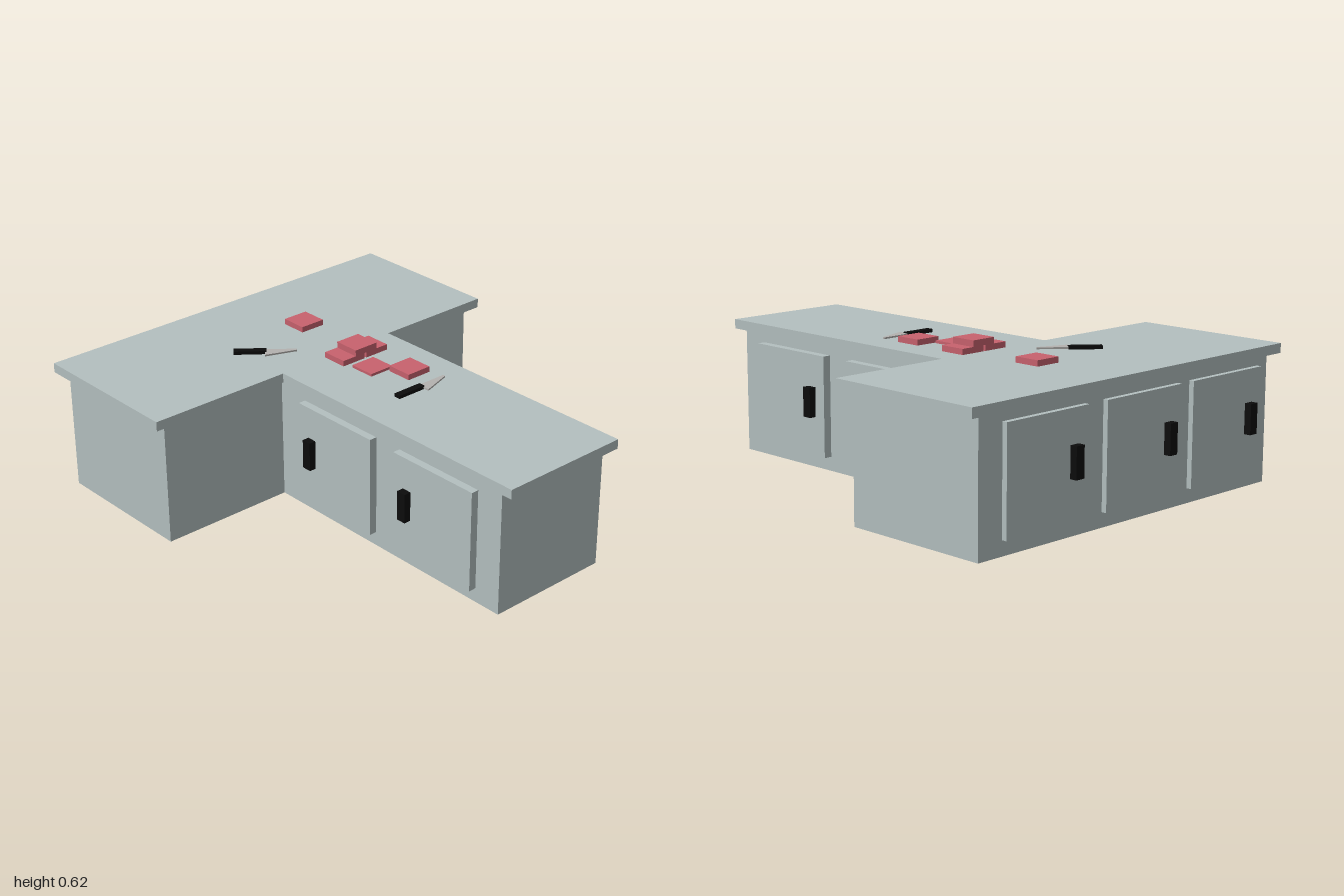
import * as THREE from 'three';

const material = (color) => new THREE.MeshStandardMaterial({ color, flatShading: true });
const CABINET = material(0xb4c0c0);
const BLACK = material(0x0c0c0c);
const MEAT = material(0xc8626e);
const STEEL = material(0xb4b2b0);

// Box given by its size and centre
function box(name, mat, [w, h, d], [x, y, z]) {
  const mesh = new THREE.Mesh(new THREE.BoxGeometry(w, h, d), mat);
  mesh.name = name;
  mesh.position.set(x, y, z);
  return mesh;
}

// Plan outline of [x, z] points, raised from y0 to y1
function slab(name, mat, points, y0, y1) {
  const shape = new THREE.Shape(points.map(([x, z]) => new THREE.Vector2(x, z)));
  const geo = new THREE.ExtrudeGeometry(shape, { depth: y1 - y0, bevelEnabled: false });
  geo.rotateX(Math.PI / 2);
  geo.translate(0, y1, 0);
  const mesh = new THREE.Mesh(geo, mat);
  mesh.name = name;
  return mesh;
}

// T-shaped plan: a long bar on the right and an arm reaching to +x
const tPlan = (x0, x1, x2, zBack, zFront, armBack, armFront) => [
  [x0, zBack], [x1, zBack], [x1, armBack], [x2, armBack],
  [x2, armFront], [x1, armFront], [x1, zFront], [x0, zFront],
];

// Cupboard door facing +z, with its pull off-centre by handleX
function door(x, z, turn, handleX) {
  const group = new THREE.Group();
  group.name = 'door';
  group.add(box('doorPanel', CABINET, [0.424, 0.425, 0.035], [0, 0.2725, 0.0175]));
  group.add(box('doorHandle', BLACK, [0.042, 0.125, 0.032], [handleX, 0.2875, 0.049]));
  group.position.set(x, 0, z);
  group.rotation.y = turn;
  return group;
}

// Knife with its origin where blade meets handle, blade towards -z
function knife(x, z, turn) {
  const group = new THREE.Group();
  group.name = 'knife';
  group.add(box('knifeHandle', BLACK, [0.03, 0.014, 0.135], [0, 0.007, 0.066]));
  const outline = [[-0.011, 0.004], [-0.011, -0.128], [0, -0.128], [0.043, 0.004]];
  group.add(slab('knifeBlade', STEEL, outline, 0.003, 0.01));
  group.position.set(x, 0.565, z);
  group.rotation.y = turn;
  return group;
}

export function createModel() {
  const model = new THREE.Group();
  model.name = 'kitchenCounter';

  // Cabinet body and overhanging worktop
  model.add(slab('cabinetBody', CABINET, tPlan(-0.95, -0.305, 0.94, -0.81, 0.815, -0.32, 0.225), 0, 0.525));
  model.add(slab('worktop', CABINET, tPlan(-0.98, -0.28, 0.997, -0.87, 0.867, -0.337, 0.237), 0.525, 0.565));

  // Doors on both sides of the arm
  for (const x of [0.052, 0.607]) model.add(door(x, 0.223, 0, -0.135));
  for (const [x, handle] of [[0.045, 0.15], [0.607, 0.137]]) model.add(door(x, -0.32, Math.PI, handle));

  // Doors along the outer long face
  for (const z of [-0.48, 0.045, 0.54]) model.add(door(-0.937, z, -Math.PI / 2, 0.135));

  // Square meat slices: x, z, bottom, thickness
  const slices = [
    [-0.585, -0.132, 0.565, 0.024], [-0.223, -0.168, 0.565, 0.024],
    [-0.223, -0.044, 0.565, 0.024], [-0.223, -0.11, 0.589, 0.026],
    [-0.078, -0.064, 0.565, 0.011], [0.046, -0.153, 0.565, 0.024],
  ];
  for (const [x, z, y, h] of slices) {
    model.add(box('meatSlice', MEAT, [0.114, h, 0.114], [x, y + h / 2, z]));
  }

  // Two knives lying on the worktop
  model.add(knife(0.186, -0.089, 0));
  model.add(knife(-0.478, 0.163, -0.68));
  return model;
}
